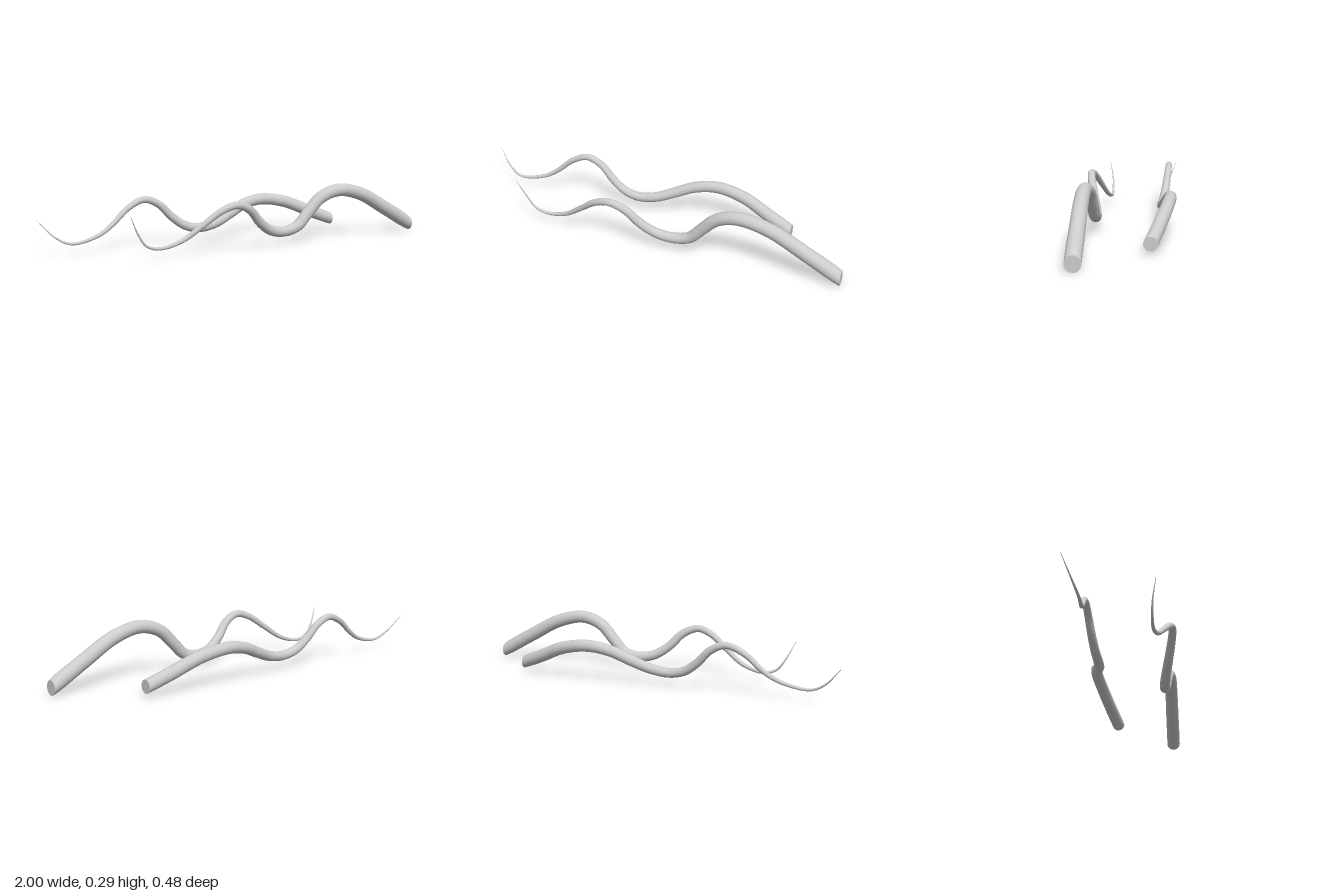
import * as THREE from 'three';

const SIDES = 24, STEPS = 110;

// Centre lines from the thick cut end to the pointed tip
const frontPath = [
  [1, 0.039, 0.157], [0.82, 0.138, 0.162], [0.65, 0.225, 0.167], [0.5, 0.255, 0.17],
  [0.39, 0.222, 0.163], [0.31, 0.145, 0.157], [0.25, 0.086, 0.155], [0.17, 0.066, 0.157],
  [0.08, 0.08, 0.168], [0, 0.131, 0.187], [-0.07, 0.2, 0.207], [-0.15, 0.231, 0.217],
  [-0.23, 0.207, 0.206], [-0.32, 0.143, 0.183], [-0.42, 0.075, 0.16], [-0.53, 0.047, 0.148],
  [-0.6, 0.066, 0.149], [-0.645, 0.125, 0.154], [-0.69, 0.215, 0.173],
];
const backPath = [
  [0.685, 0.052, -0.141], [0.56, 0.1, -0.168], [0.42, 0.157, -0.197], [0.27, 0.181, -0.21],
  [0.15, 0.163, -0.199], [0.05, 0.122, -0.18], [-0.05, 0.084, -0.159], [-0.15, 0.07, -0.151],
  [-0.23, 0.088, -0.156], [-0.3, 0.137, -0.164], [-0.37, 0.205, -0.172], [-0.45, 0.235, -0.174],
  [-0.54, 0.2, -0.17], [-0.63, 0.125, -0.163], [-0.71, 0.08, -0.153], [-0.85, 0.055, -0.146],
  [-0.92, 0.088, -0.162], [-1, 0.175, -0.2],
];

function createTentacle(name, path, baseRadius) {
  const group = new THREE.Group();
  group.name = name;
  const material = new THREE.MeshStandardMaterial({ color: 0xcccccc });
  const curve = new THREE.CatmullRomCurve3(path.map((p) => new THREE.Vector3(...p)));
  const zAxis = new THREE.Vector3(0, 0, 1);
  const positions = [], indices = [];

  // Round rings swept along the centre line, thinning towards the tip
  for (let i = 0; i <= STEPS; i++) {
    const t = i / STEPS;
    const centre = curve.getPointAt(t);
    // The cut end is squared off to face +x
    const tangent = curve.getTangentAt(t);
    tangent.lerp(new THREE.Vector3(-1, 0, 0), Math.max(0, 1 - t / 0.04)).normalize();
    const n = zAxis.clone().cross(tangent).normalize();
    const b = tangent.clone().cross(n);
    const radius = baseRadius * (1 - Math.pow(t, 1.65)) + 0.001;
    for (let j = 0; j < SIDES; j++) {
      const a = (j / SIDES) * Math.PI * 2;
      const p = centre.clone()
        .addScaledVector(n, Math.cos(a) * radius)
        .addScaledVector(b, Math.sin(a) * radius);
      positions.push(p.x, p.y, p.z);
      if (i === STEPS) continue;
      const k = i * SIDES + j, l = i * SIDES + ((j + 1) % SIDES);
      indices.push(k, l, k + SIDES, l, l + SIDES, k + SIDES);
    }
  }
  const geometry = new THREE.BufferGeometry();
  geometry.setAttribute('position', new THREE.Float32BufferAttribute(positions, 3));
  geometry.setIndex(indices);
  geometry.computeVertexNormals();
  const body = new THREE.Mesh(geometry, material);
  body.name = 'tentacleBody';

  // Flat disc closing the thick end
  const cap = new THREE.Mesh(new THREE.CircleGeometry(baseRadius + 0.001, SIDES), material);
  cap.name = 'tentacleEndCap';
  cap.rotation.y = Math.PI / 2;
  cap.position.set(...path[0]);

  group.add(body, cap);
  return group;
}

export function createModel() {
  const model = new THREE.Group();
  model.name = 'tentacles';
  model.add(
    createTentacle('frontTentacle', frontPath, 0.036),
    createTentacle('backTentacle', backPath, 0.032),
  );
  return model;
}
